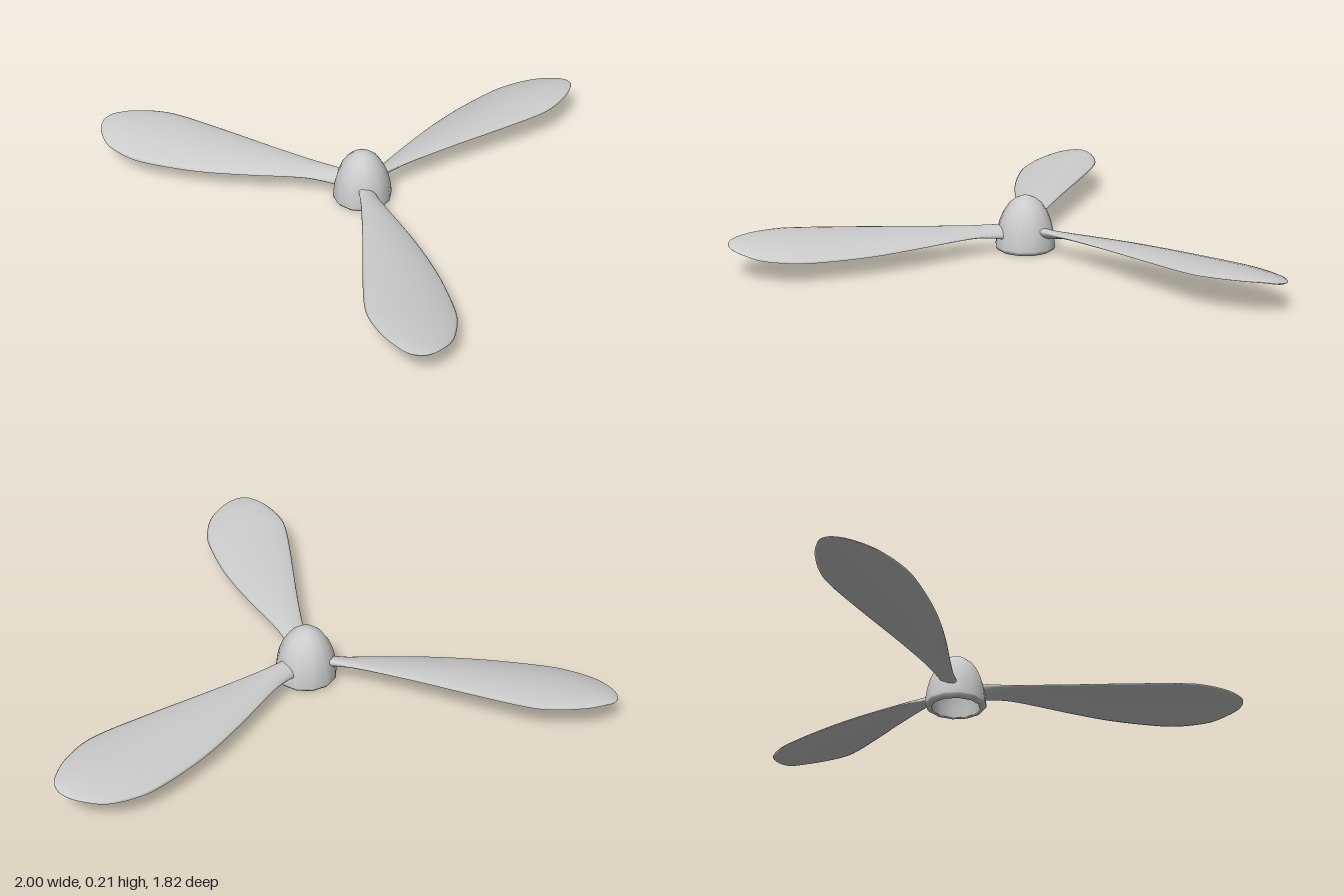
import * as THREE from 'three';

const material = new THREE.MeshStandardMaterial({ color: 0xcccccc, side: THREE.DoubleSide });

// Blade stations along +z: [radius, trailing x, leading x, trailing y, leading y, half thickness]
const STATIONS = [
  [0.09, -0.026, 0.043, 0.088, 0.062, 0.022],
  [0.15, -0.028, 0.054, 0.092, 0.070, 0.016],
  [0.24, -0.034, 0.080, 0.096, 0.078, 0.011],
  [0.44, -0.055, 0.145, 0.104, 0.077, 0.010],
  [0.64, -0.080, 0.195, 0.111, 0.074, 0.010],
  [0.84, -0.100, 0.220, 0.118, 0.076, 0.010],
  [0.94, -0.093, 0.215, 0.123, 0.080, 0.010],
  [1.04, -0.057, 0.183, 0.126, 0.088, 0.009],
  [1.10, -0.018, 0.133, 0.125, 0.100, 0.007],
  [1.13, 0.012, 0.090, 0.121, 0.108, 0.005],
  [1.14, 0.045, 0.055, 0.116, 0.114, 0.002],
];

// Loft of cambered lens sections through the stations
function bladeGeometry(rings = 50, sides = 20) {
  const outline = new THREE.CatmullRomCurve3(STATIONS.map(s => new THREE.Vector3(s[1], s[2], s[0])));
  const heights = new THREE.CatmullRomCurve3(STATIONS.map(s => new THREE.Vector3(s[3], s[4], s[5])));
  outline.curveType = heights.curveType = 'catmullrom';
  const positions = [], index = [];
  for (let i = 0; i <= rings; i++) {
    const o = outline.getPoint(i / rings), h = heights.getPoint(i / rings);
    const camber = 0.07 * Math.max(0, o.y - o.x - 0.07);
    for (let j = 0; j < sides; j++) {
      const a = (j / sides) * Math.PI * 2, c = Math.cos(a), k = (c + 1) / 2;
      positions.push(
        THREE.MathUtils.lerp(o.x, o.y, k),
        THREE.MathUtils.lerp(h.x, h.y, k) + h.z * Math.sin(a) + camber * (1 - c * c),
        o.z,
      );
      if (i < rings) {
        const p = i * sides + j, q = i * sides + (j + 1) % sides;
        index.push(p, q, q + sides, p, q + sides, p + sides);
      }
    }
  }
  // close the tip
  for (let j = 1; j < sides - 1; j++) index.push(rings * sides, rings * sides + j, rings * sides + j + 1);
  const geometry = new THREE.BufferGeometry();
  geometry.setAttribute('position', new THREE.Float32BufferAttribute(positions, 3));
  geometry.setIndex(index);
  geometry.computeVertexNormals();
  return geometry;
}

// Hollow spinner: inner wall down, around the rim, outer dome up
function hubGeometry() {
  const profile = [
    [0, 0.185], [0.04, 0.172], [0.07, 0.14], [0.086, 0.09], [0.091, 0.04],
    [0.092, 0.003], [0.094, 0], [0.106, 0], [0.109, 0.002], [0.116, 0.01], [0.117, 0.016],
    [0.115, 0.04], [0.110, 0.075], [0.101, 0.11], [0.085, 0.148],
    [0.063, 0.18], [0.038, 0.2], [0.018, 0.208], [0, 0.21],
  ].map(([r, y]) => new THREE.Vector2(r, y));
  return new THREE.LatheGeometry(profile, 12);
}

export function createModel() {
  const model = new THREE.Group();
  model.name = 'propeller';

  const rotor = new THREE.Group();
  rotor.name = 'rotor';
  rotor.position.set(0.02, 0, -0.24);
  model.add(rotor);

  const hub = new THREE.Mesh(hubGeometry(), material);
  hub.name = 'hub';
  rotor.add(hub);

  // Three identical blades
  const geometry = bladeGeometry();
  ['frontBlade', 'leftBlade', 'rightBlade'].forEach((name, i) => {
    const blade = new THREE.Mesh(geometry, material);
    blade.name = name;
    blade.rotation.y = (i * Math.PI * 2) / 3;
    rotor.add(blade);
  });

  return model;
}
